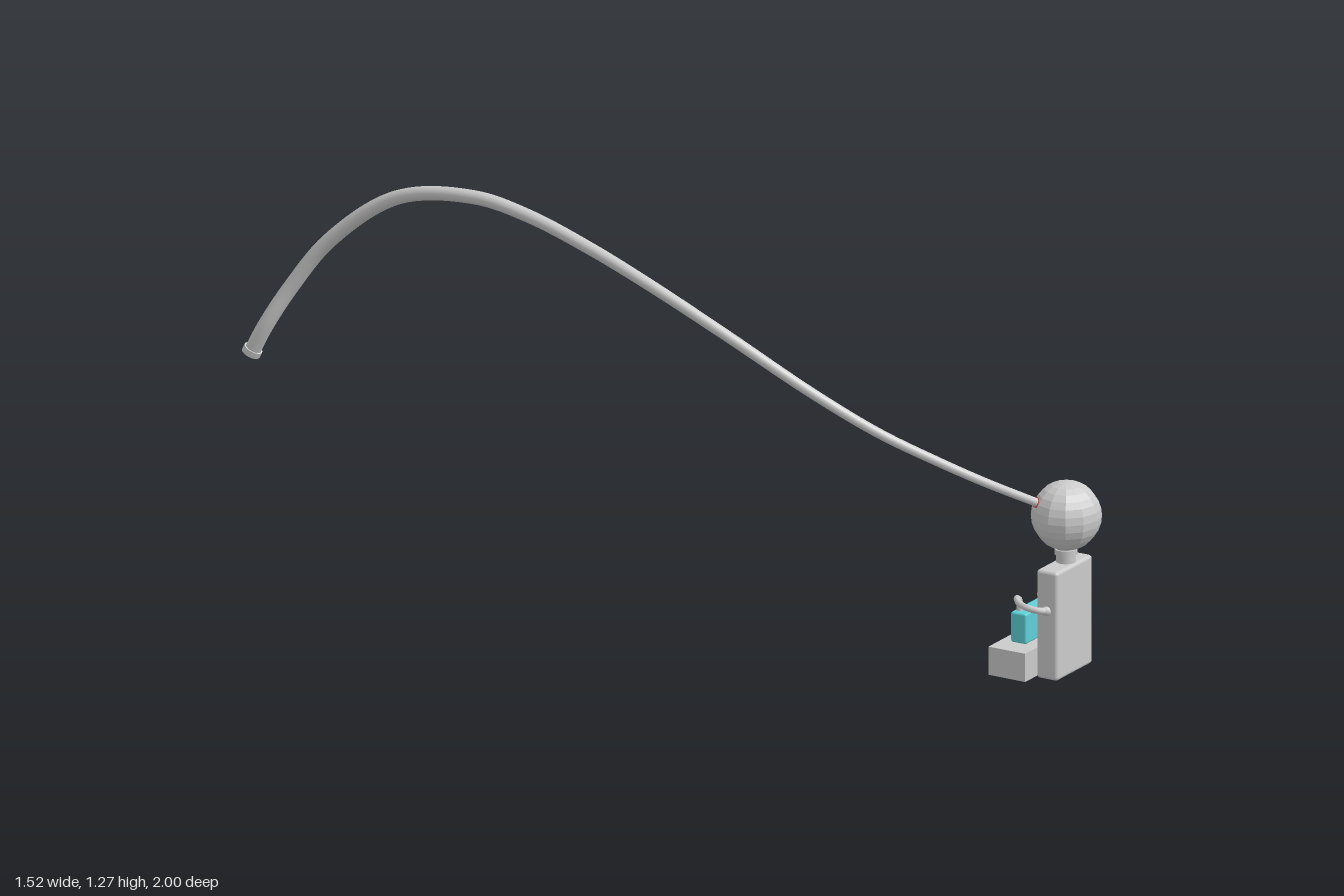
import * as THREE from 'three';
import { RoundedBoxGeometry } from 'three/addons/geometries/RoundedBoxGeometry.js';

const paint = (color) => new THREE.MeshStandardMaterial({ color });
const grey = paint(0xcccccc);
const greyFlat = new THREE.MeshStandardMaterial({ color: 0xcccccc, flatShading: true });
const teal = paint(0x5fd0d8);
const darkTeal = paint(0x1d6f78);
const yellow = paint(0xc8c400);
const red = paint(0xd06055);

const V = (x, y, z) => new THREE.Vector3(x, y, z);

function add(parent, name, geometry, material, x = 0, y = 0, z = 0) {
  const mesh = new THREE.Mesh(geometry, material);
  mesh.name = name;
  mesh.position.set(x, y, z);
  parent.add(mesh);
  return mesh;
}

// Tube whose radius runs linearly from r0 to r1
function taperedTube(curve, segments, sides, r0, r1) {
  const geo = new THREE.TubeGeometry(curve, segments, 1, sides);
  const pos = geo.attributes.position;
  const p = V(0, 0, 0);
  for (let i = 0; i <= segments; i++) {
    const t = i / segments;
    const centre = curve.getPointAt(t);
    const r = r0 + (r1 - r0) * t;
    for (let j = 0; j <= sides; j++) {
      const k = i * (sides + 1) + j;
      p.fromBufferAttribute(pos, k).sub(centre).multiplyScalar(r).add(centre);
      pos.setXYZ(k, p.x, p.y, p.z);
    }
  }
  return geo;
}

export function createModel() {
  const model = new THREE.Group();

  // Seated figure, turned on its spot; its face looks toward local -z
  const figure = new THREE.Group();
  figure.name = 'figure';
  figure.position.set(0.63, 0, 0.91);
  figure.rotation.y = 0.366;
  model.add(figure);

  add(figure, 'body', new RoundedBoxGeometry(0.19, 0.315, 0.068, 2, 0.01), grey, 0, 0.1575, 0);
  add(figure, 'legs', new THREE.BoxGeometry(0.297, 0.082, 0.118), grey, 0.003, 0.043, -0.097);
  add(figure, 'chestPanel', new THREE.BoxGeometry(0.115, 0.07, 0.008), yellow, 0.005, 0.262, -0.036);

  // Neck and head
  add(figure, 'neck', new THREE.CylinderGeometry(0.028, 0.028, 0.08, 16), grey, 0.008, 0.345, 0);
  add(figure, 'neckRing', new THREE.CylinderGeometry(0.032, 0.032, 0.016, 16), grey, 0.008, 0.345, 0);
  add(figure, 'head', new THREE.SphereGeometry(0.098, 12, 14), greyFlat, 0.01, 0.448, 0);

  // Box held on the lap, with studs on its front
  add(figure, 'lapBox', new RoundedBoxGeometry(0.145, 0.088, 0.05, 2, 0.006), teal, -0.008, 0.128, -0.1);
  for (let row = 0; row < 2; row++) {
    for (let col = -1; col <= 1; col++) {
      add(figure, 'stud', new THREE.SphereGeometry(0.006, 8, 6), darkTeal,
        -0.008 + col * 0.04, 0.115 + row * 0.03, -0.125);
    }
  }

  // Arms curl out, forward and down onto the lap box
  for (const s of [-1, 1]) {
    const path = new THREE.CatmullRomCurve3([
      V(s * 0.085, 0.2, 0), V(s * 0.112, 0.204, -0.005), V(s * 0.124, 0.208, -0.03),
      V(s * 0.112, 0.212, -0.075), V(s * 0.078, 0.213, -0.105),
      V(s * 0.058, 0.2, -0.11), V(s * 0.055, 0.165, -0.11),
    ]);
    add(figure, s > 0 ? 'leftArm' : 'rightArm', new THREE.TubeGeometry(path, 32, 0.0095, 10), grey);
    add(figure, 'shoulder', new THREE.SphereGeometry(0.014, 12, 8), grey, s * 0.095, 0.2, 0);
  }

  // Long arching trunk, widening toward its free end
  const trunk = new THREE.CatmullRomCurve3([
    V(0.58, 0.482, 0.882), V(0.4, 0.578, 0.845), V(0.28, 0.648, 0.79), V(0.14, 0.737, 0.71),
    V(0, 0.85, 0.595), V(-0.15, 0.998, 0.4), V(-0.25, 1.105, 0.2), V(-0.315, 1.177, 0),
    V(-0.375, 1.23, -0.2), V(-0.43, 1.249, -0.37), V(-0.512, 1.2, -0.61),
    V(-0.602, 1.045, -0.795), V(-0.665, 0.9, -0.885), V(-0.715, 0.785, -0.935), V(-0.737, 0.7, -0.972),
  ]);
  add(model, 'trunk', taperedTube(trunk, 140, 14, 0.012, 0.023), grey);

  // Collar where the trunk leaves the head, and rim at its tip
  const place = (mesh, t) => {
    mesh.position.copy(trunk.getPointAt(t));
    mesh.quaternion.setFromUnitVectors(V(0, 1, 0), trunk.getTangentAt(t));
  };
  place(add(model, 'trunkCollar', new THREE.CylinderGeometry(0.015, 0.015, 0.012, 14), red), 0.008);
  place(add(model, 'trunkTip', new THREE.CylinderGeometry(0.027, 0.027, 0.018, 16), grey), 0.998);

  return model;
}
